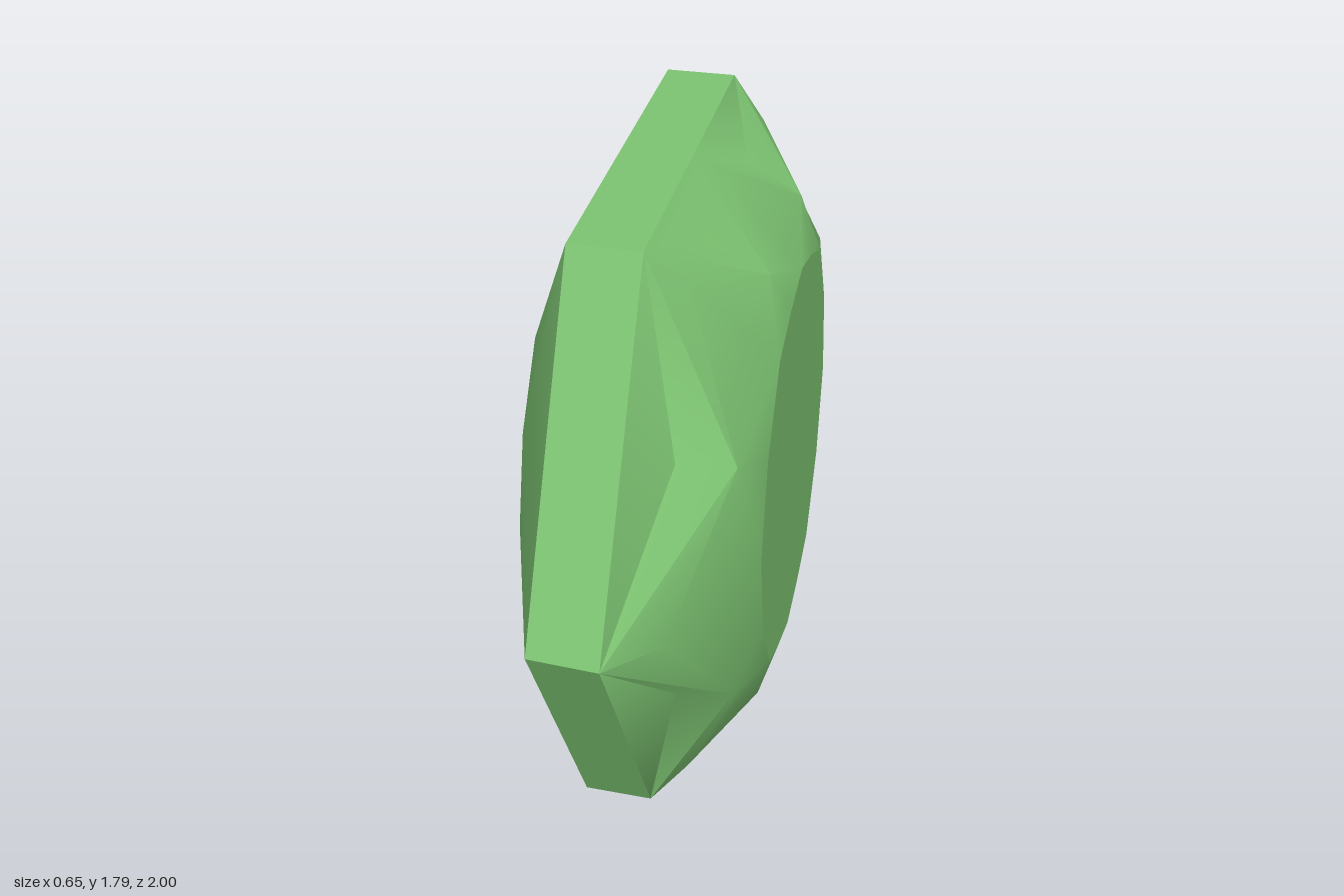
import * as THREE from 'three';
import { toCreasedNormals } from 'three/addons/utils/BufferGeometryUtils.js';

const CY = 0.895; // height of the gem's centre
const green = new THREE.MeshStandardMaterial({ color: 0x7cc271 });
green.name = 'gemGreen';

// Mirror quarter points [z, y] to a ring of eight, from the +z corner round over the top
const ring8 = (x, side, upper, top) => [
  [side, 0], upper, [0, top], [-upper[0], upper[1]],
  [-side, 0], [-upper[0], -upper[1]], [0, -top], [upper[0], -upper[1]],
].map(([z, y]) => new THREE.Vector3(x, y, z));

// Midpoint of two ring points, moved in or out from the gem's axis
function between(a, b, scale) {
  const p = a.clone().lerp(b, 0.5);
  p.y *= scale;
  p.z *= scale;
  return p;
}

// Build a mesh from triangles, turning each one to face away from the centre
function facets(name, tris, crease) {
  const pos = [];
  for (const [a, b, c] of tris) {
    const n = b.clone().sub(a).cross(c.clone().sub(a));
    const mid = a.clone().add(b).add(c);
    for (const p of n.dot(mid) < 0 ? [a, c, b] : [a, b, c]) pos.push(p.x, p.y + CY, p.z);
  }
  const g = new THREE.BufferGeometry();
  g.setAttribute('position', new THREE.Float32BufferAttribute(pos, 3));
  const mesh = new THREE.Mesh(toCreasedNormals(g, crease), green);
  mesh.name = name;
  return mesh;
}

export function createModel() {
  const gem = new THREE.Group();
  gem.name = 'gem';

  const back = ring8(-0.33, 0.48, [0.27, 0.46], 0.505);
  const rimBack = ring8(-0.16, 0.99, [0.52, 0.893], 0.893);
  const rim = ring8(0.03, 1, [0.52, 0.895], 0.895);
  const table = ring8(0.325, 0.48, [0.3, 0.5], 0.605);

  // Points of the crown between neighbouring rim corners
  const crown = [[0.6, 0.37], [0.22, 0.7], [-0.22, 0.7], [-0.6, 0.37],
    [-0.6, -0.37], [-0.22, -0.7], [0.22, -0.7], [0.6, -0.37]]
    .map(([z, y]) => new THREE.Vector3(0.28, y, z));

  const backTris = [], rimTris = [], crownTris = [], tableTris = [];
  const backCentre = new THREE.Vector3(-0.33, 0, 0);
  const tableCentre = new THREE.Vector3(0.325, 0, 0);
  for (let i = 0; i < 8; i++) {
    const j = (i + 1) % 8, h = (i + 7) % 8;
    const isSide = i % 4 === 0 || i % 4 === 3;
    // rounded back face and its bevel
    const backMid = between(back[i], back[j], isSide ? 1.1 : 1.02);
    backTris.push([backCentre, back[i], backMid], [backCentre, backMid, back[j]],
      [back[i], rimBack[i], backMid], [rimBack[i], rimBack[j], backMid],
      [rimBack[j], back[j], backMid]);
    // straight band
    rimTris.push([rimBack[i], rim[i], rim[j]], [rimBack[i], rim[j], rimBack[j]]);
    // dented facet above each rim edge
    const m = crown[i];
    const dent = between(rim[i], rim[j], 1).lerp(m, 0.4);
    const depth = isSide ? 0.9 : 0.95;
    dent.y *= depth;
    dent.z *= depth;
    crownTris.push([rim[i], rim[j], dent], [rim[j], m, dent], [m, rim[i], dent]);
    // kite facet running in from each rim corner, with a raised nose
    const nose = rim[i].clone().lerp(table[i], 0.25);
    nose.x = i % 4 === 0 ? 0.16 : 0.125;
    crownTris.push([rim[i], m, nose], [m, table[i], nose],
      [table[i], crown[h], nose], [crown[h], rim[i], nose]);
    // star facets and flat rounded table
    const tableMid = between(table[i], table[j], isSide ? 1.1 : 1.02);
    crownTris.push([m, table[i], tableMid], [m, tableMid, table[j]]);
    tableTris.push([tableCentre, table[i], tableMid], [tableCentre, tableMid, table[j]]);
  }

  gem.add(
    facets('backFace', backTris, 0.6),
    facets('rimBand', rimTris, 0.5),
    facets('crown', crownTris, 0.75),
    facets('table', tableTris, 0.5),
  );
  return gem;
}
